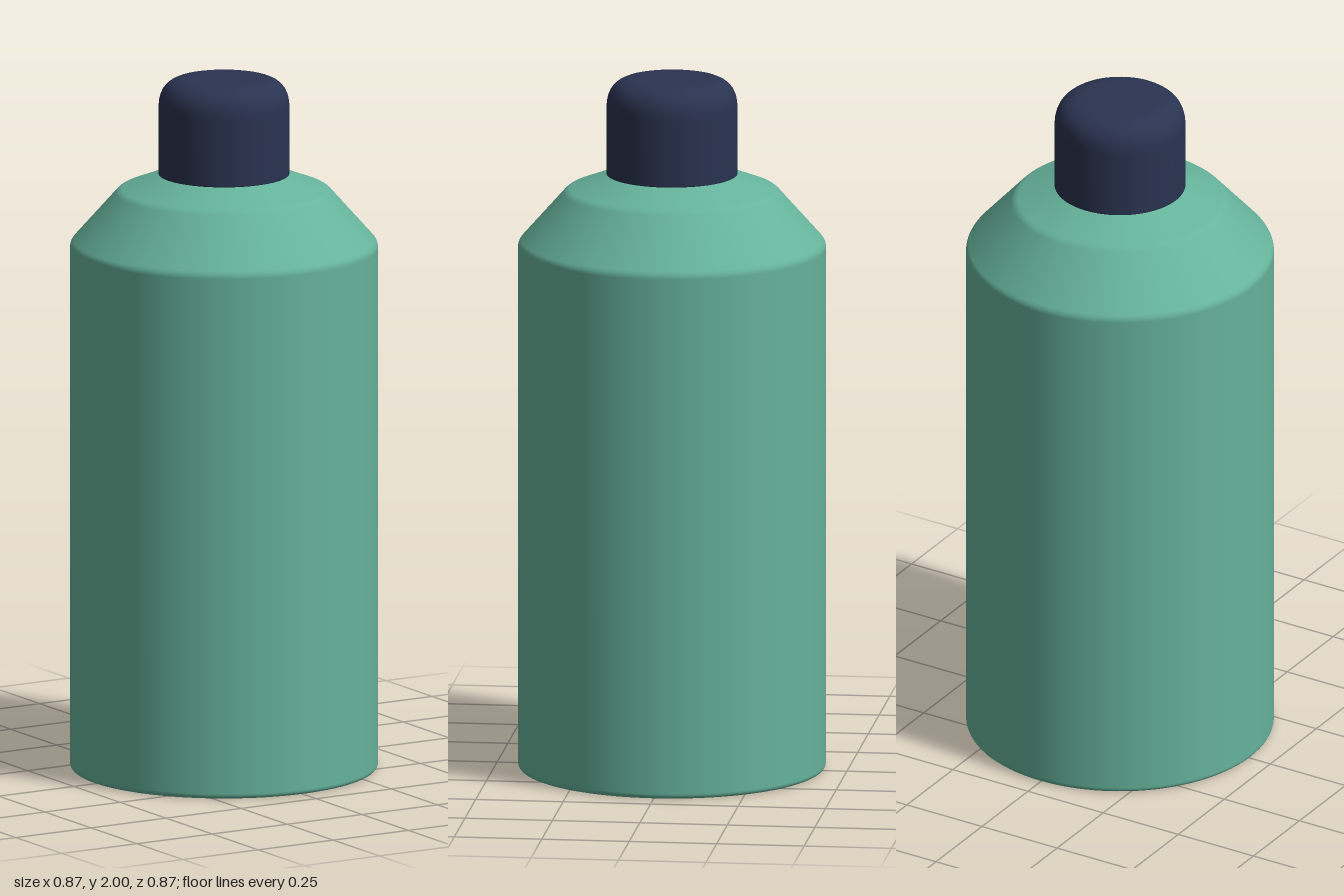
import * as THREE from 'three';

// Replace each inner corner of a profile with a small arc of the given radius
function roundedProfile(corners) {
  const path = new THREE.Path();
  path.moveTo(corners[0][0], corners[0][1]);
  for (let i = 1; i < corners.length - 1; i++) {
    const [p, c, n] = [corners[i - 1], corners[i], corners[i + 1]].map(([x, y]) => new THREE.Vector2(x, y));
    const r = corners[i][2];
    const a = c.clone().add(p.sub(c).setLength(r));
    const b = c.clone().add(n.sub(c).setLength(r));
    path.lineTo(a.x, a.y);
    path.quadraticCurveTo(c.x, c.y, b.x, b.y);
  }
  const end = corners[corners.length - 1];
  path.lineTo(end[0], end[1]);
  return path.getPoints(8);
}

function turned(name, corners, color) {
  const mesh = new THREE.Mesh(
    new THREE.LatheGeometry(roundedProfile(corners), 96),
    new THREE.MeshStandardMaterial({ color })
  );
  mesh.name = name;
  return mesh;
}

export function createModel() {
  const model = new THREE.Group();
  model.name = 'bottle';

  // Body: flat base, straight wall, two-slope shoulder running in under the cap
  model.add(turned('body', [
    [0, 0],
    [0.437, 0, 0.016],
    [0.437, 1.522, 0.012],
    [0.3, 1.677, 0.012],
    [0.18, 1.723, 0.005],
    [0, 1.723],
  ], 0x66b39b));

  // Cap: short cylinder with a rounded top edge
  model.add(turned('cap', [
    [0, 1.722],
    [0.186, 1.722, 0.003],
    [0.186, 2, 0.085],
    [0, 2],
  ], 0x2a3350));

  return model;
}
